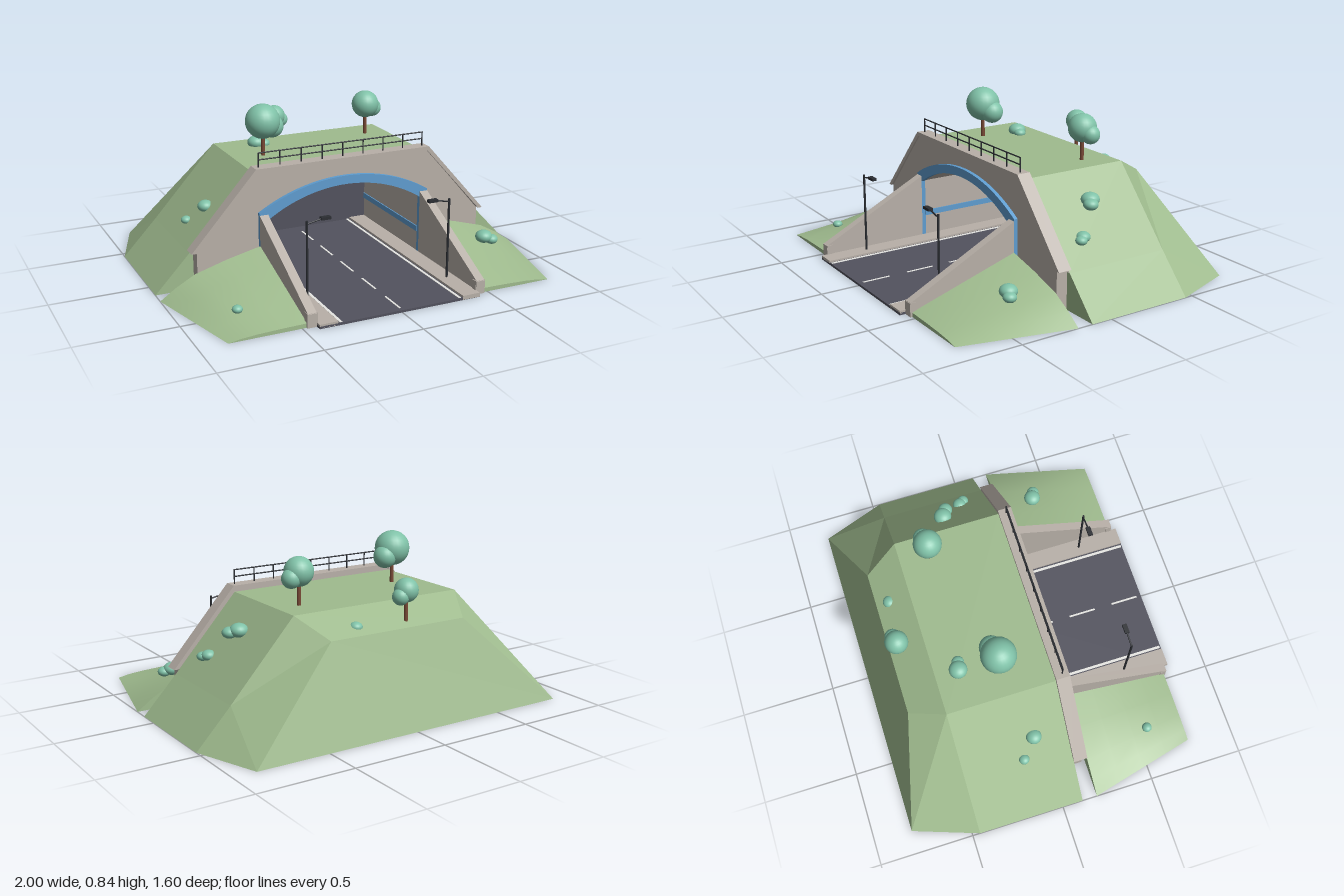
import * as THREE from 'three';
import { toCreasedNormals } from 'three/addons/utils/BufferGeometryUtils.js';

const mat = (name, color) => {
  const m = new THREE.MeshStandardMaterial({ color });
  m.name = name;
  return m;
};

export function createModel() {
  const model = new THREE.Group();
  model.name = 'tunnelPortal';
  const grass = mat('grass green', 0x9fbb8e);
  const concrete = mat('concrete', 0xb8b0a8);
  const asphalt = mat('asphalt', 0x52525e);
  const blue = mat('arch blue', 0x5f9dd0);
  const white = mat('line white', 0xeeeeea);
  const metal = mat('dark metal', 0x2b2e33);
  const bark = mat('bark brown', 0x7a4a36);
  const leaf = mat('foliage teal', 0x80c2a8);

  const add = (name, geo, material, parent = model) => {
    const m = new THREE.Mesh(geo, material);
    m.name = name;
    parent.add(m);
    return m;
  };
  // Box given by its minimum and maximum corners
  const box = (name, material, x0, x1, y0, y1, z0, z1, parent) =>
    add(name, new THREE.BoxGeometry(x1 - x0, y1 - y0, z1 - z0)
      .translate((x0 + x1) / 2, (y0 + y1) / 2, (z0 + z1) / 2), material, parent);
  const extrude = (pts, z0, z1) =>
    new THREE.ExtrudeGeometry(new THREE.Shape(pts.map(p => new THREE.Vector2(...p))),
      { depth: z1 - z0, bevelEnabled: false }).translate(0, 0, z0);
  // Cylinder between two points
  const rod = (name, a, b, r, material, parent, sides = 8) => {
    const p = new THREE.Vector3(...a), d = new THREE.Vector3(...b).sub(p);
    const m = add(name, new THREE.CylinderGeometry(r, r, d.length(), sides), material, parent);
    m.position.copy(p).addScaledVector(d, 0.5);
    m.quaternion.setFromUnitVectors(new THREE.Vector3(0, 1, 0), d.normalize());
  };
  // Surface from polygons, each a convex loop of corners
  const surface = (faces, crease) => {
    const out = [];
    for (const f of faces)
      for (let i = 1; i < f.length - 1; i++) out.push(...f[0], ...f[i], ...f[i + 1]);
    const g = new THREE.BufferGeometry();
    g.setAttribute('position', new THREE.Float32BufferAttribute(out, 3));
    g.computeVertexNormals();
    return crease ? toCreasedNormals(g, crease) : g;
  };
  const mirror = f => f.map(([x, y, z]) => [-x, y, z]).reverse();
  // Arched opening from the left foot over the crown to the right foot
  const arch = (hw, spring, crown) => {
    const pts = [[-hw, 0]], rise = crown - spring;
    const r = (hw * hw + rise * rise) / (2 * rise), a = Math.asin(hw / r);
    for (let i = 0; i <= 32; i++) {
      const t = -a + 2 * a * i / 32;
      pts.push([r * Math.sin(t), crown - r + r * Math.cos(t)]);
    }
    return [...pts, [hw, 0]];
  };
  const archRing = (inner, outer, z0, z1) =>
    toCreasedNormals(extrude([...outer, ...inner.slice().reverse()], z0, z1), 0.4);

  // Hill: flat top, side slopes, lower skirts and sloping back
  const zf = 0.11, zb = -0.46;
  const half = [
    [[0.82, 0.19, zf], [0.82, 0.19, zb], [0.48, 0.565, zb], [0.48, 0.565, zf]],
    [[1, 0, zf], [1, 0, zb], [0.82, 0.19, zb], [0.82, 0.19, zf]],
    [[1, 0, zb], [0.88, 0, -0.8], [0.82, 0.19, zb]],
    [[0.82, 0.19, zb], [0.88, 0, -0.8], [0.39, 0.47, -0.64], [0.48, 0.565, zb]],
    [[0.45, 0, zf], [1, 0, zf], [0.82, 0.19, zf], [0.45, 0.19, zf]],
  ];
  const across = (a, b) => [a, b, [-b[0], b[1], b[2]], [-a[0], a[1], a[2]]];
  add('hill', surface([
    ...half, ...half.map(mirror),
    across([0.48, 0.565, zf], [0.48, 0.565, zb]),
    across([0.48, 0.565, zb], [0.39, 0.47, -0.64]),
    across([0.39, 0.47, -0.64], [0.88, 0, -0.8]),
    across([1, 0.004, zf], [1, 0.004, zb]).reverse(),
    across([1, 0.004, zb], [0.88, 0.004, -0.8]).reverse(),
  ]), grass);

  // Front berms beside the approach road
  const back = [[0.475, 0.2], [0.65, 0.16], [0.82, 0.11], [0.92, 0.055], [1, 0]];
  const front = [[0.475, 0.022], [0.6, 0.02], [0.72, 0.016], [0.8, 0.01], [0.86, 0]];
  const bermFaces = [];
  const steps = 4;
  const at = (i, k) => {
    const t = k / steps;
    return [back[i][0] + (front[i][0] - back[i][0]) * t,
      back[i][1] + (front[i][1] - back[i][1]) * t, 0.19 + 0.57 * t];
  };
  const floor = ([x, , z]) => [x, 0, z];
  for (let i = 0; i < 4; i++) {
    for (let k = 0; k < steps; k++)
      bermFaces.push([at(i + 1, k + 1), at(i + 1, k), at(i, k), at(i, k + 1)]);
    const [b0, b1, f0, f1] = [at(i, 0), at(i + 1, 0), at(i, steps), at(i + 1, steps)];
    bermFaces.push([floor(b1), floor(b0), b0, b1], [floor(f0), floor(f1), f1, f0],
      [floor(f0), floor(b0), floor(b1), floor(f1)]);
  }
  add('leftBerm', surface(bermFaces, 0.7), grass);
  add('rightBerm', surface(bermFaces.map(mirror), 0.7), grass);

  // Portal wall with coping, arch trim and tunnel lining
  const opening = arch(0.445, 0.345, 0.475);
  add('portalWall', extrude([[-0.8, 0], [-0.8, 0.21], [-0.475, 0.58], [0.475, 0.58], [0.8, 0.21],
    [0.8, 0], ...opening.slice().reverse()], 0.11, 0.17), concrete);
  add('coping', extrude([[-0.83, 0.21], [-0.485, 0.597], [0.485, 0.597], [0.83, 0.21],
    [0.805, 0.21], [0.475, 0.577], [-0.475, 0.577], [-0.805, 0.21]], 0.108, 0.18), concrete);
  add('archTrim', archRing(arch(0.43, 0.33, 0.46), arch(0.475, 0.37, 0.505), 0.168, 0.19), blue);
  add('tunnelLining', archRing(arch(0.432, 0.332, 0.462), opening, zb, 0.169), concrete);
  add('tunnelEnd', extrude(arch(0.44, 0.34, 0.47), zb - 0.01, zb + 0.005), asphalt);

  // Road with centre dashes
  box('road', asphalt, -0.43, 0.43, 0, 0.012, zb, 0.8);
  for (let z = 0.7; z > -0.4; z -= 0.25)
    box('centreDash', white, -0.005, 0.005, 0.012, 0.014, z - 0.075, z + 0.075);

  for (const s of [-1, 1]) {
    const side = new THREE.Group();
    side.name = s > 0 ? 'leftRoadside' : 'rightRoadside';
    model.add(side);
    const sbox = (name, m, x0, x1, ...r) =>
      box(name, m, Math.min(s * x0, s * x1), Math.max(s * x0, s * x1), ...r, side);
    sbox('walkway', concrete, 0.335, 0.43, 0.001, 0.022, zb, 0.8);
    sbox('edgeLine', white, 0.313, 0.327, 0.012, 0.014, zb, 0.795);
    sbox('wallStripe', blue, 0.426, 0.433, 0.13, 0.16, zb, 0.168);
    // Wing wall falling towards the front, with an end pier
    add('wingWall', extrude([[0.188, 0], [0.77, 0], [0.77, 0.068], [0.19, 0.36]], 0, 0.045)
      .rotateY(-Math.PI / 2).translate(s > 0 ? 0.475 : -0.43, 0, 0), concrete, side);
    sbox('endPier', concrete, 0.425, 0.478, 0, 0.07, 0.735, 0.768);
    // Street lamp leaning over the road
    rod('lampPost', [s * 0.385, 0.02, 0.56], [s * 0.385, 0.44, 0.56], 0.006, metal, side);
    rod('lampArm', [s * 0.385, 0.425, 0.56], [s * 0.3, 0.442, 0.56], 0.004, metal, side);
    sbox('lampHead', metal, 0.265, 0.315, 0.435, 0.449, 0.548, 0.572);
  }

  // Railing on the portal
  const railing = new THREE.Group();
  railing.name = 'railing';
  model.add(railing);
  for (const y of [0.635, 0.67])
    rod('rail', [-0.463, y, 0.147], [0.463, y, 0.147], 0.0035, metal, railing);
  for (let i = 0; i <= 8; i++) {
    const x = -0.46 + i * 0.115;
    rod('railPost', [x, 0.59, 0.147], [x, 0.67, 0.147], 0.0035, metal, railing);
  }

  // Trees and bushes: rows of x, y, z, radius
  const ball = (name, [x, y, z, r], squash, parent) => {
    const m = add(name, new THREE.SphereGeometry(r, 24, 16), leaf, parent);
    m.scale.y = squash;
    m.position.set(x, y, z);
  };
  const trees = [
    [[-0.32, 0.747, -0.14, 0.091], [-0.26, 0.71, -0.16, 0.06], 0.56],
    [[0.355, 0.732, -0.305, 0.074], [0.405, 0.705, -0.318, 0.049], 0.56],
    [[-0.07, 0.643, -0.595, 0.06], [-0.03, 0.617, -0.605, 0.042], 0.47],
  ];
  for (const [crown, lobe, base] of trees) {
    const tree = new THREE.Group();
    tree.name = 'tree';
    model.add(tree);
    const [x, y, z] = crown;
    rod('trunk', [x, base, z], [x, y, z], 0.01, bark, tree, 10);
    ball('crown', crown, 1, tree);
    ball('crownLobe', lobe, 1, tree);
  }
  const bushes = [
    [-0.28, 0.58, -0.34, 0.047], [-0.24, 0.572, -0.33, 0.032],
    [0.205, 0.495, -0.57, 0.033],
    [0.61, 0.447, -0.165, 0.047], [0.648, 0.435, -0.14, 0.038],
    [0.715, 0.308, -0.045, 0.036], [0.735, 0.3, -0.02, 0.03],
    [-0.67, 0.362, -0.065, 0.04], [-0.75, 0.275, -0.14, 0.027],
    [0.715, 0.128, 0.383, 0.045], [0.752, 0.113, 0.4, 0.034],
    [-0.74, 0.062, 0.56, 0.026],
  ];
  for (const b of bushes) ball('bush', b, 0.75, model);

  return model;
}
